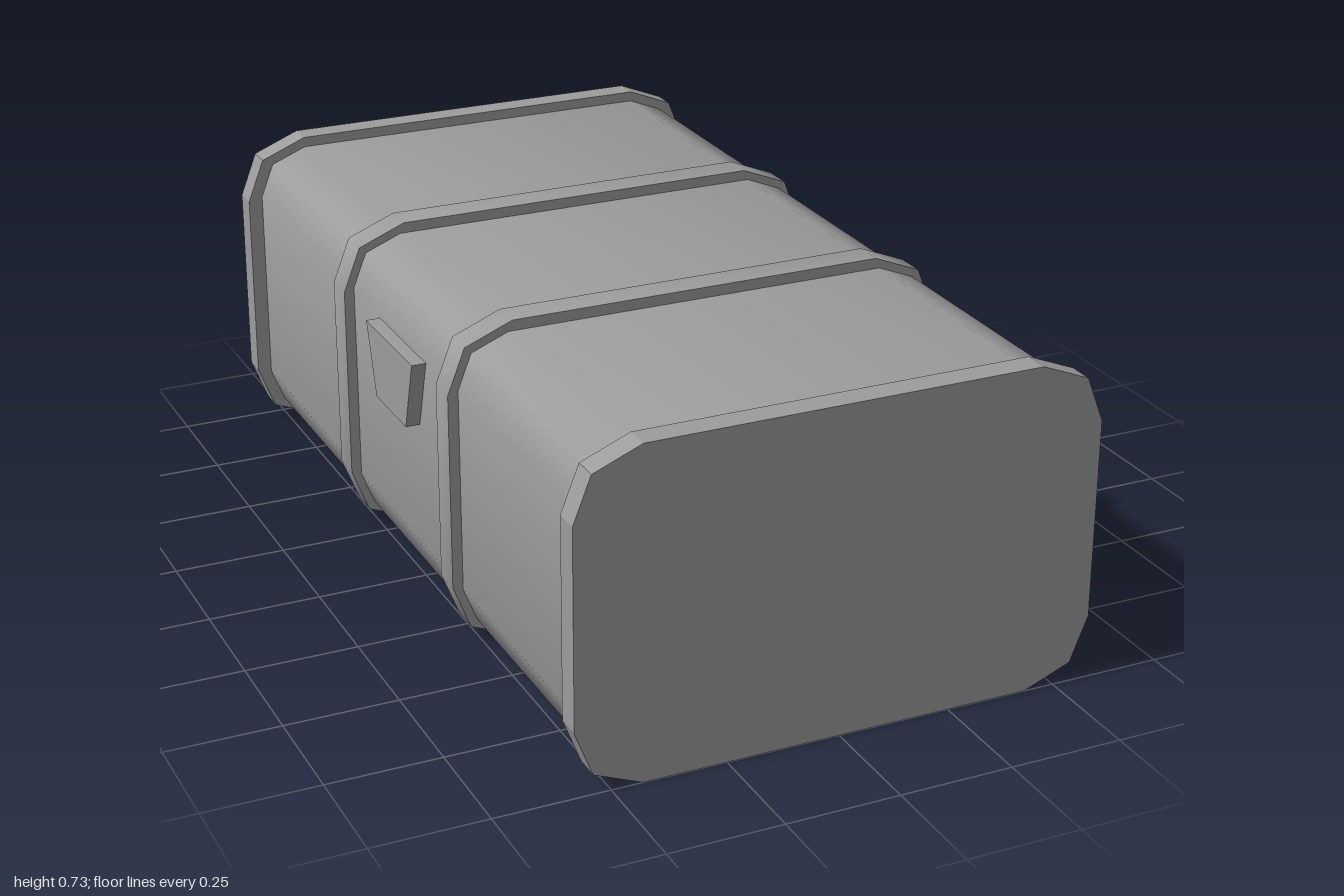
import * as THREE from 'three';
import { toCreasedNormals } from 'three/addons/utils/BufferGeometryUtils.js';

const CENTRE_Y = 0.3625;

// Rectangle whose corners are each cut by two facets; cut scales the corner size.
function profile(halfW, halfH, cut) {
  const corner = [
    [halfW, halfH - 0.143 * cut],
    [halfW - 0.039 * cut, halfH - 0.043 * cut],
    [halfW - 0.145 * cut, halfH],
  ];
  const points = [];
  for (const [sx, sy] of [[1, 1], [-1, 1], [-1, -1], [1, -1]]) {
    const ordered = sx * sy > 0 ? corner : [...corner].reverse();
    for (const [x, y] of ordered) points.push(new THREE.Vector2(sx * x, sy * y));
  }
  return new THREE.Shape(points);
}

function extrude(shape, depth) {
  return new THREE.ExtrudeGeometry(shape, { depth, bevelEnabled: false });
}

export function createModel() {
  const group = new THREE.Group();
  const color = 0x9c9c9c;
  const smooth = new THREE.MeshStandardMaterial({ color });
  const flat = new THREE.MeshStandardMaterial({ color, flatShading: true });

  const add = (name, geometry, material) => {
    const mesh = new THREE.Mesh(geometry, material);
    mesh.name = name;
    group.add(mesh);
    return mesh;
  };

  // A slice of the case between two z positions.
  const slice = (name, halfW, halfH, cut, z0, z1, rounded) => {
    let geometry = extrude(profile(halfW, halfH, cut), z1 - z0);
    if (rounded) geometry = toCreasedNormals(geometry, Math.PI / 3);
    geometry.translate(0, CENTRE_Y, z0);
    add(name, geometry, rounded ? smooth : flat);
  };

  // Main shell
  slice('body', 0.544, 0.339, 0.78, -0.96, 0.96, true);

  // End caps
  slice('frontCap', 0.577, 0.3625, 1, 0.943, 1, false);
  slice('backCap', 0.577, 0.3625, 1, -1, -0.943, false);

  // Reinforcing bands
  slice('frontBand', 0.567, 0.3625, 1, 0.275, 0.342, true);
  slice('backBand', 0.567, 0.3625, 1, -0.357, -0.287, true);

  // Trapezoid latch plate on the right side, drawn as (z, y)
  const plate = new THREE.Shape([[-0.07, 0.42], [0.11, 0.42], [0.158, 0.58], [-0.12, 0.58]]
    .map(([z, y]) => new THREE.Vector2(z, y)));
  const latch = add('latch', extrude(plate, 0.05), flat);
  latch.rotation.y = -Math.PI / 2;
  latch.position.x = -0.526;

  return group;
}
